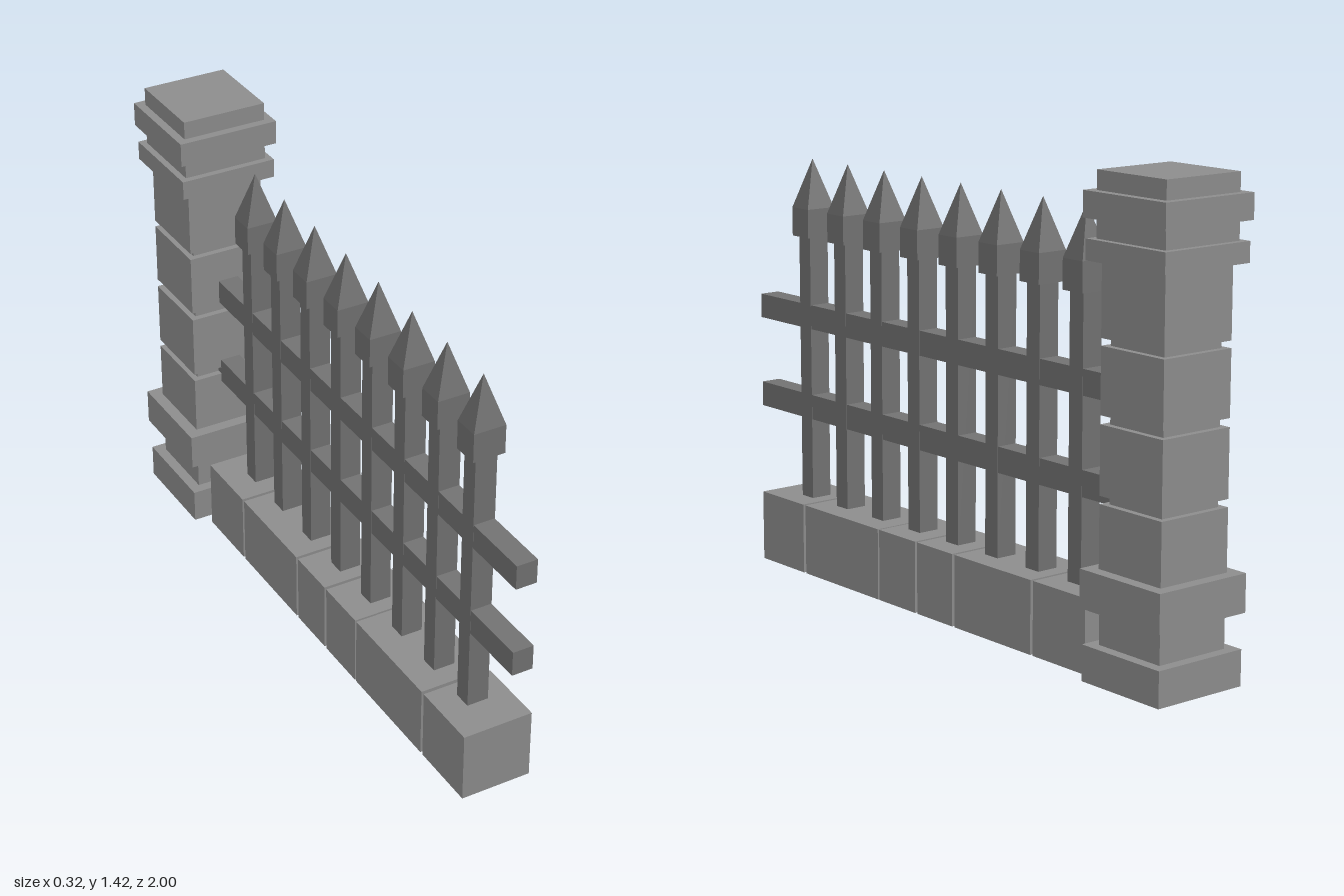
import * as THREE from 'three';

const stone = new THREE.MeshStandardMaterial({ color: 0x8d8d8d, flatShading: true });
const metal = new THREE.MeshStandardMaterial({ color: 0x727272, flatShading: true });
const fenceX = 0.004;

// Box given by its half width in x and its ranges in y and z
function block(name, material, halfX, y0, y1, z0, z1) {
  const mesh = new THREE.Mesh(new THREE.BoxGeometry(2 * halfX, y1 - y0, z1 - z0), material);
  mesh.position.set(0, (y0 + y1) / 2, (z0 + z1) / 2);
  mesh.name = name;
  return mesh;
}

// Stone pillar: stacked square courses, [name, half size, bottom, top]
function createPillar() {
  const pillar = new THREE.Group();
  pillar.name = 'pillar';
  const z = -0.84;
  const courses = [
    ['pillarBase', 0.154, 0, 0.106],
    ['pillarFoot', 0.121, 0.106, 0.21],
    ['pillarLowerBand', 0.16, 0.21, 0.322],
    ['pillarBlock', 0.123, 0.322, 0.505],
    ['pillarJoint', 0.104, 0.505, 0.528],
    ['pillarBlock', 0.123, 0.528, 0.727],
    ['pillarJoint', 0.104, 0.727, 0.752],
    ['pillarBlock', 0.123, 0.752, 0.943],
    ['pillarJoint', 0.104, 0.943, 0.964],
    ['pillarBlock', 0.123, 0.964, 1.174],
    ['pillarUpperBand', 0.154, 1.174, 1.233],
    ['pillarNeck', 0.134, 1.233, 1.289],
    ['pillarCap', 0.16, 1.289, 1.363],
    ['pillarTop', 0.134, 1.363, 1.418],
  ];
  for (const [name, half, y0, y1] of courses) {
    pillar.add(block(name, stone, half, y0, y1, z - half, z + half));
  }
  return pillar;
}

// Low wall: blocks of uneven length around a recessed core
function createWall() {
  const wall = new THREE.Group();
  wall.name = 'wall';
  const spans = [
    [0.681, 0.9], [0.295, 0.669], [0.113, 0.288],
    [-0.064, 0.102], [-0.417, -0.075], [-0.65, -0.428],
  ];
  for (const [z0, z1] of spans) wall.add(block('wallBlock', stone, 0.111, 0, 0.221, z0, z1));
  wall.add(block('wallCore', stone, 0.072, 0.04, 0.187, -0.6, 0.85));
  return wall;
}

// Four-sided spear head with straight sides and a pyramid point
function spearHeadGeometry() {
  const r = Math.SQRT2;
  const profile = [[0, 1.056], [r, 1.056], [r, 1.145], [0, 1.297]].map(p => new THREE.Vector2(...p));
  const geometry = new THREE.LatheGeometry(profile, 4, Math.PI / 4).toNonIndexed();
  geometry.scale(0.05, 1, 0.041);
  geometry.computeVertexNormals();
  return geometry;
}

// Metal fence: two rails running into the pillar and a row of spear-headed pickets
function createFence() {
  const fence = new THREE.Group();
  fence.name = 'fence';
  fence.position.x = fenceX;
  fence.add(block('lowerRail', metal, 0.033, 0.477, 0.555, -0.75, 1));
  fence.add(block('upperRail', metal, 0.033, 0.766, 0.842, -0.75, 1));

  const headGeometry = spearHeadGeometry();
  for (let i = 0; i < 8; i++) {
    const z = 0.757 - i * 0.1826;
    const picket = new THREE.Group();
    picket.name = 'picket';
    const head = new THREE.Mesh(headGeometry, metal);
    head.name = 'spearHead';
    head.position.z = z;
    picket.add(block('picketBar', metal, 0.034, 0.2, 1.07, z - 0.028, z + 0.028), head);
    fence.add(picket);
  }
  return fence;
}

export function createModel() {
  const model = new THREE.Group();
  model.name = 'fenceSection';
  model.add(createPillar(), createWall(), createFence());
  return model;
}
